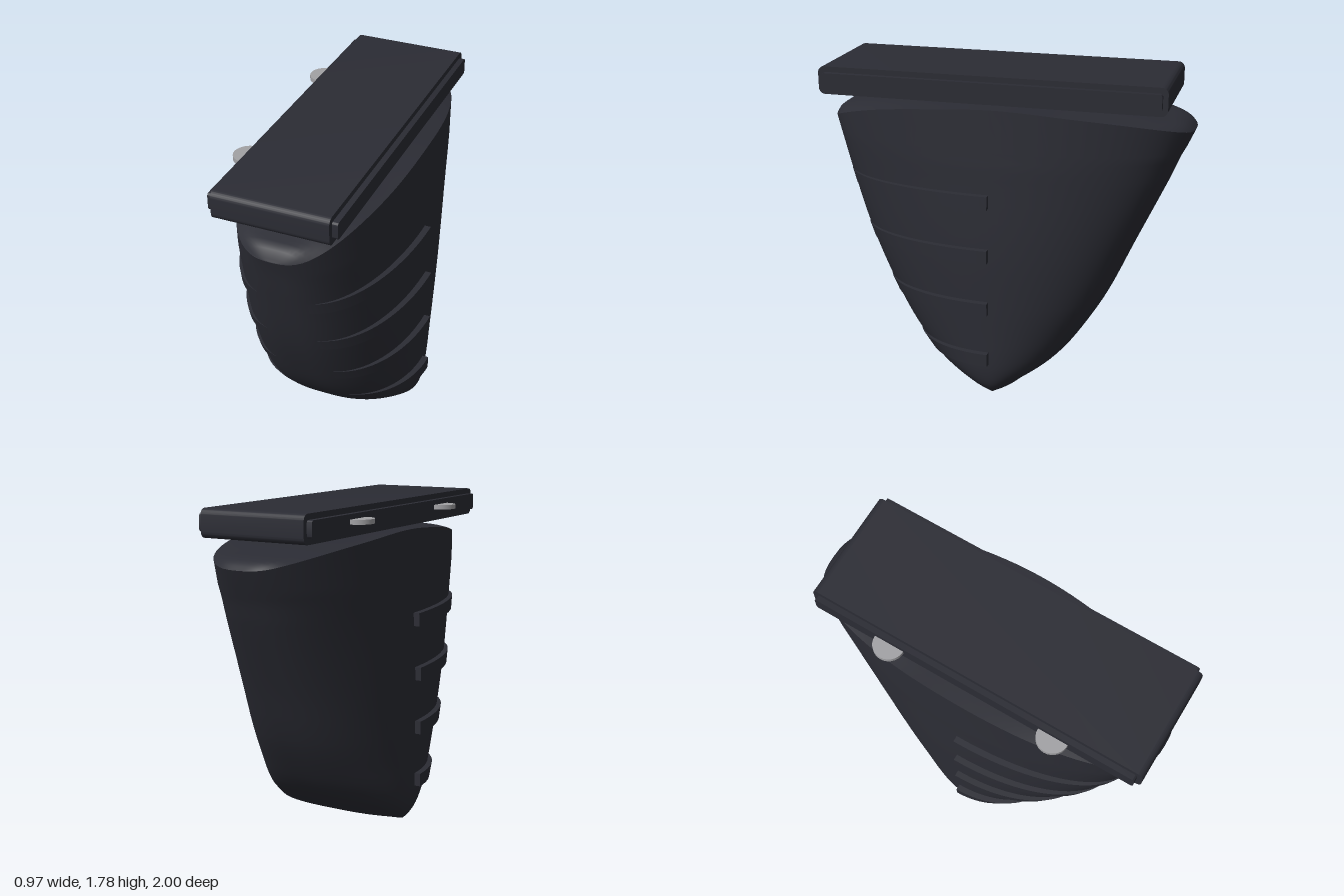
import * as THREE from 'three';
import { mergeVertices, toCreasedNormals } from 'three/addons/utils/BufferGeometryUtils.js';

const MID = 0.02; // z of the widest line of the body

// Body rows: height, front z, back z, half width
const ROWS = [
  [0, 0.08, -0.02, 0.38], [0.02, 0.165, -0.095, 0.4], [0.064, 0.265, -0.165, 0.428],
  [0.135, 0.385, -0.27, 0.445], [0.214, 0.465, -0.35, 0.45], [0.36, 0.577, -0.455, 0.45],
  [0.536, 0.675, -0.56, 0.45], [0.83, 0.805, -0.695, 0.447], [1.205, 0.925, -0.868, 0.43],
  [1.4, 0.98, -0.955, 0.42], [1.46, 1, -1, 0.41],
];
// Heights along z: the ridge of the top, and its slightly lower rim
const RIDGE = [
  [-1, 1.5], [-0.96, 1.537], [-0.825, 1.57], [-0.61, 1.596], [-0.29, 1.614], [0, 1.628],
  [0.35, 1.614], [0.675, 1.59], [0.89, 1.543], [0.97, 1.51], [1, 1.46],
];
const RIM = [
  [-1, 1.5], [-0.9, 1.53], [-0.7, 1.568], [-0.4, 1.602], [0, 1.628],
  [0.4, 1.602], [0.7, 1.56], [0.9, 1.505], [1, 1.46],
];

// Smooth lookup in a table sorted by its first column
function smooth(table) {
  const curve = new THREE.CubicInterpolant(
    table.map((r) => r[0]), table.flatMap((r) => r.slice(1)), table[0].length - 1);
  const min = table[0][0], max = table[table.length - 1][0];
  return (t) => [...curve.evaluate(THREE.MathUtils.clamp(t, min, max))];
}
const section = smooth(ROWS), ridge = smooth(RIDGE), rimHeight = smooth(RIM);

// Point of the oval section at height y; dx and dz grow or shrink it
function oval(y, angle, dx = 0, dz = 0) {
  const [front, back, half] = section(y);
  const c = Math.cos(angle), s = Math.sin(angle);
  const reach = s > 0 ? front - MID + dz : MID - back + dz;
  return [Math.sign(c) * Math.abs(c) ** 0.75 * (half + dx), y, MID + reach * s];
}

// Point of the top rim
function rim(angle) {
  const [x, , z] = oval(1.46, angle);
  return [x, rimHeight(z)[0], z];
}

// Surface from a rule point(u, v) on a grid
function surface(nu, nv, point, flip = false) {
  const pos = [], idx = [];
  for (let v = 0; v <= nv; v++) for (let u = 0; u <= nu; u++) pos.push(...point(u, v));
  for (let v = 0; v < nv; v++) for (let u = 0; u < nu; u++) {
    const a = v * (nu + 1) + u, b = a + 1, d = a + nu + 1, c = d + 1;
    if (flip) idx.push(a, b, c, a, c, d);
    else idx.push(a, c, b, a, d, c);
  }
  let geo = new THREE.BufferGeometry();
  geo.setAttribute('position', new THREE.Float32BufferAttribute(pos, 3));
  geo.setIndex(idx);
  geo = mergeVertices(geo, 1e-5);
  geo.computeVertexNormals();
  return geo;
}

// Rounded bar lying along z, extruded across x
function bar(z0, z1, y0, y1, r, halfWidth) {
  const s = new THREE.Shape();
  s.absarc(z1 - r, y1 - r, r, 0, Math.PI / 2);
  s.absarc(z0 + r, y1 - r, r, Math.PI / 2, Math.PI);
  s.absarc(z0 + r, y0 + r, r, Math.PI, Math.PI * 1.5);
  s.absarc(z1 - r, y0 + r, r, Math.PI * 1.5, Math.PI * 2);
  const geo = new THREE.ExtrudeGeometry(s, { depth: halfWidth * 2, bevelEnabled: false, curveSegments: 6 });
  geo.translate(0, 0, -halfWidth).rotateY(-Math.PI / 2);
  return toCreasedNormals(geo, 0.6);
}

export function createModel() {
  const group = new THREE.Group();
  const dark = new THREE.MeshStandardMaterial({ color: 0x2b2c34 });
  dark.name = 'charcoal';
  const grey = new THREE.MeshStandardMaterial({ color: 0xa2a2a5 });
  grey.name = 'light grey';
  const add = (name, geo, material = dark) => {
    const mesh = new THREE.Mesh(geo, material);
    mesh.name = name;
    group.add(mesh);
    return mesh;
  };

  // Tapered body wall: several rings between table rows, the last on the rim
  const N = 96, STEPS = 4;
  const heights = [];
  for (let i = 0; i < ROWS.length - 2; i++) {
    for (let k = 0; k < STEPS; k++) heights.push(THREE.MathUtils.lerp(ROWS[i][0], ROWS[i + 1][0], k / STEPS));
  }
  heights.push(1.4);
  add('body', surface(N, heights.length, (u, v) => {
    const angle = ((u % N) / N) * Math.PI * 2;
    return v === heights.length ? rim(angle) : oval(heights[v], angle);
  }));

  // Top, gently domed from the rim to the ridge
  const sweep = (v) => -Math.PI / 2 + (v / 48) * Math.PI;
  add('bodyTop', surface(16, 48, (u, v) => {
    const [x, y, z] = rim(sweep(v)), k = u / 8 - 1;
    return [x * k, y + (ridge(z)[0] - y) * (1 - k ** 4), z];
  }));
  // Flat underside
  add('bodyUnderside', surface(2, 48, (u, v) => {
    const [x, y, z] = oval(0, sweep(v));
    return [x * (1 - u), y, z];
  }));

  // Grip ribs fading into the front of the body
  for (const y of [0.2, 0.5, 0.803, 1.103]) {
    const top = y + 0.073;
    const corners = [[y, -0.04, -0.06], [y, 0.034, -0.004], [top, 0.034, -0.004], [top, -0.04, -0.06]];
    for (const side of [1, -1]) {
      const geo = surface(33, 4, (u, v) => {
        // The first column closes the end of the rib
        const [height, dx, dz] = corners[u === 0 ? 0 : v % 4];
        const a = (Math.max(u - 1, 0) / 32) * 1.5;
        const [px, py, pz] = oval(height, a, dx, dz);
        return [px * side, py, pz];
      }, side < 0);
      add(side > 0 ? 'leftRib' : 'rightRib', toCreasedNormals(geo, 0.6));
    }
  }

  // Slab on top with its raised side panels
  add('topSlab', bar(-0.884, 1, 1.627, 1.778, 0.035, 0.305));
  add('sidePanels', bar(-0.857, 0.97, 1.657, 1.748, 0.015, 0.335));

  // Half-round tabs on the right side
  for (const z of [-0.415, 0.525]) {
    const tab = add('tab', new THREE.CylinderGeometry(0.083, 0.083, 0.025, 28), grey);
    tab.position.set(-0.337, 1.708, z);
  }
  return group;
}
